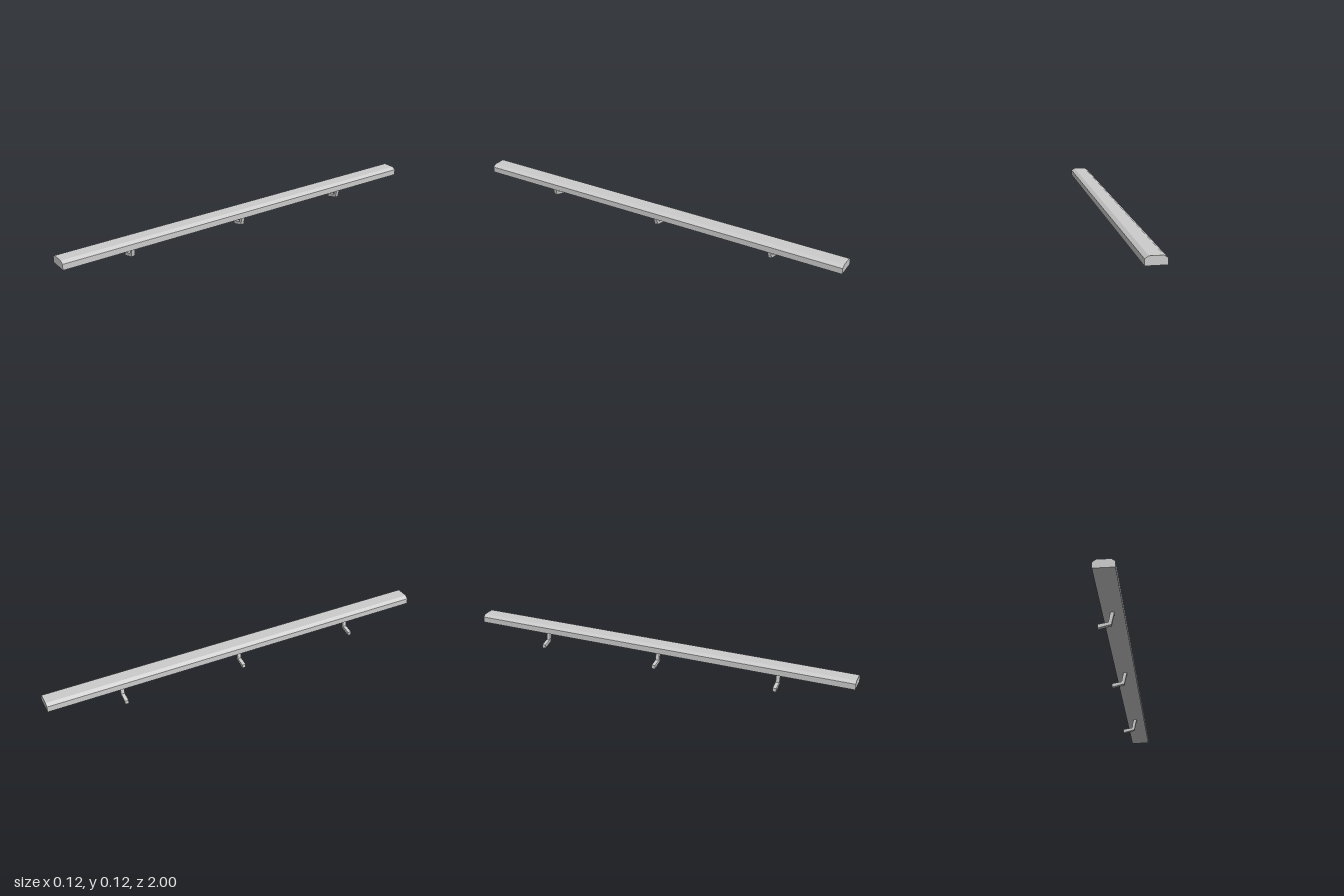
import * as THREE from 'three';

const material = new THREE.MeshStandardMaterial({ color: 0xcccccc, flatShading: true });

// Extrudes an x/y outline along z, centred on z = 0
function extrudeProfile(points, depth) {
  const shape = new THREE.Shape(points.map(([x, y]) => new THREE.Vector2(x, y)));
  const geometry = new THREE.ExtrudeGeometry(shape, { depth, bevelEnabled: false });
  return geometry.translate(0, 0, -depth / 2);
}

export function createModel() {
  const model = new THREE.Group();
  model.name = 'handrail';

  // Long rail with chamfered top edges
  const rail = new THREE.Mesh(extrudeProfile([
    [-0.039, 0.0775], [0.0575, 0.0775], [0.0575, 0.107],
    [0.04, 0.1185], [-0.022, 0.1185], [-0.039, 0.107],
  ], 2), material);
  rail.name = 'rail';
  model.add(rail);

  // Three bent wall brackets under the rail
  const bracketGeometry = extrudeProfile([
    [-0.0585, 0], [0.003, 0.0155], [0.016, 0.078],
    [-0.0015, 0.078], [-0.0105, 0.0275], [-0.0585, 0.019],
  ], 0.018);
  [-0.626, 0, 0.626].forEach((z, i) => {
    const bracket = new THREE.Mesh(bracketGeometry, material);
    bracket.name = `bracket${i + 1}`;
    bracket.position.z = z;
    model.add(bracket);
  });

  return model;
}
